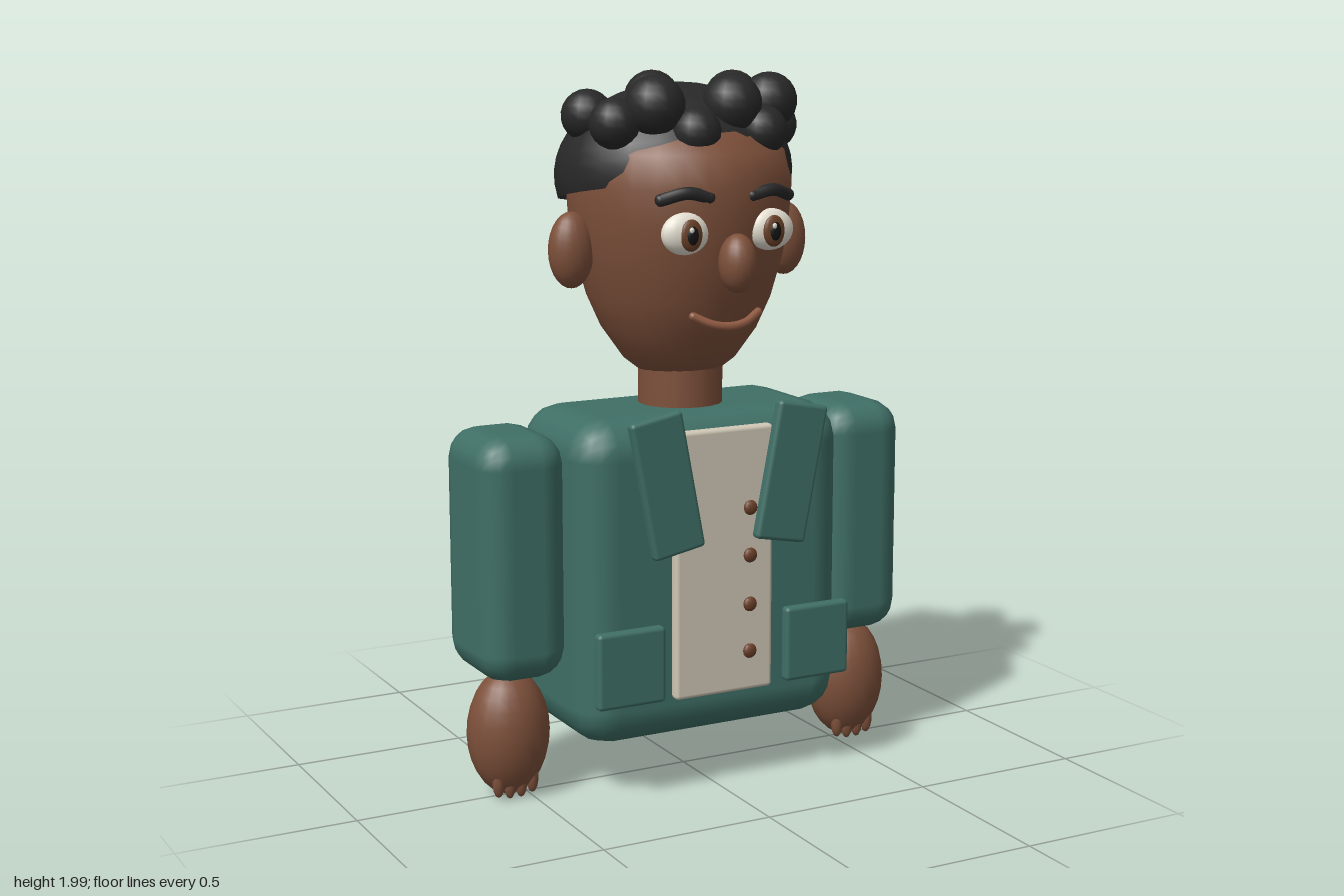
import * as THREE from 'three';
import { RoundedBoxGeometry } from 'three/addons/geometries/RoundedBoxGeometry.js';

const mat = (name, color) => {
  const m = new THREE.MeshStandardMaterial({ color });
  m.name = name;
  return m;
};

export function createModel() {
  const skin = mat('skin', 0x7d503a);
  const jacket = mat('jacketGreen', 0x3f6f66);
  const shirt = mat('shirtCream', 0xd0c8b6);
  const hair = mat('hairBlack', 0x282828);
  const button = mat('buttonBrown', 0x6b4029);
  const lip = mat('lipBrown', 0x8f5a42);
  const white = mat('eyeWhite', 0xe6e0d2);
  const iris = mat('irisBrown', 0x6a4026);
  const pupil = mat('pupilBlack', 0x141414);

  const model = new THREE.Group();
  model.name = 'figure';

  const add = (name, geometry, material, x, y, z, parent = model) => {
    const m = new THREE.Mesh(geometry, material);
    m.name = name;
    m.position.set(x, y, z);
    parent.add(m);
    return m;
  };
  const box = (w, h, d, r, s = 2) => new RoundedBoxGeometry(w, h, d, s, r);
  const ball = (rx, ry, rz, seg = 20) =>
    new THREE.SphereGeometry(1, seg, Math.round(seg * 0.7)).scale(rx, ry, rz);
  const tube = (points, r) => new THREE.TubeGeometry(
    new THREE.CatmullRomCurve3(points.map(p => new THREE.Vector3(...p))), 16, r, 8);

  // Jacket body, shirt front and buttons
  add('torso', box(0.83, 0.92, 0.47, 0.11), jacket, 0, 0.62, -0.02);
  add('shirtFront', box(0.305, 0.755, 0.036, 0.012), shirt, 0, 0.668, 0.23);
  for (const y of [0.82, 0.685, 0.545, 0.41])
    add('button', ball(0.021, 0.021, 0.012, 12), button, 0.07, y, 0.264);

  // Neck and head
  add('neck', new THREE.CylinderGeometry(0.12, 0.12, 0.2, 20), skin, 0, 1.12, -0.02);
  const profile = [[0, 1.14], [0.09, 1.155], [0.16, 1.21], [0.22, 1.295], [0.26, 1.385], [0.292, 1.5],
    [0.308, 1.6], [0.315, 1.7], [0.295, 1.79], [0.2, 1.88], [0, 1.92]];
  add('head', new THREE.LatheGeometry(profile.map(p => new THREE.Vector2(...p)), 28), skin, 0, 0, -0.028);
  add('nose', ball(0.052, 0.08, 0.055), skin, 0, 1.505, 0.31);

  // Smile with rounded ends
  const smile = [[-0.1, 1.36, 0.245], [-0.05, 1.337, 0.264], [0, 1.33, 0.27], [0.05, 1.337, 0.264], [0.1, 1.36, 0.245]];
  add('mouth', tube(smile, 0.012), lip, 0, 0, 0);
  for (const p of [smile[0], smile[4]]) add('mouthCorner', ball(0.012, 0.012, 0.012, 8), lip, ...p);

  // Mirrored parts
  for (const s of [-1, 1]) {
    const side = s > 0 ? 'left' : 'right';
    add(side + 'Sleeve', box(0.255, 0.685, 0.325, 0.085), jacket, s * 0.538, 0.703, -0.026);
    add(side + 'Hand', ball(0.118, 0.18, 0.105), skin, s * 0.55, 0.195, -0.004);
    for (let i = 0; i < 4; i++)
      add(side + 'Finger', ball(0.018, 0.05, 0.02, 10), skin,
        s * (0.55 + (i - 1.5) * 0.034), i % 3 ? 0.062 : 0.07, 0.04);

    const lapel = add(side + 'Lapel', box(0.157, 0.39, 0.036, 0.012), jacket, s * 0.193, 0.91, 0.268);
    lapel.rotation.z = -s * 0.19;
    add(side + 'Pocket', box(0.205, 0.215, 0.036, 0.012), jacket, s * 0.293, 0.407, 0.245);
    add(side + 'Ear', ball(0.065, 0.105, 0.055), skin, s * 0.335, 1.525, -0.02);

    // Eye in layers, then the brow
    add(side + 'Eye', ball(0.07, 0.057, 0.035), white, s * 0.13, 1.585, 0.255);
    add(side + 'Iris', ball(0.033, 0.043, 0.012, 16), iris, s * 0.126, 1.583, 0.284);
    add(side + 'Pupil', ball(0.018, 0.026, 0.008, 12), pupil, s * 0.126, 1.583, 0.292);
    add(side + 'EyeGlint', ball(0.007, 0.008, 0.004, 8), white, s * 0.126 - 0.006, 1.598, 0.299);
    const brow = [[s * 0.195, 1.675, 0.24], [s * 0.13, 1.693, 0.268], [s * 0.065, 1.68, 0.27]];
    add(side + 'Brow', tube(brow, 0.017), hair, 0, 0, 0);
    for (const p of [brow[0], brow[2]]) add(side + 'BrowEnd', ball(0.017, 0.017, 0.017, 8), hair, ...p);
  }

  // Hair cap, lower at the back, with curls around the crown
  const hairGroup = new THREE.Group();
  hairGroup.name = 'hair';
  model.add(hairGroup);
  const capGeo = new THREE.SphereGeometry(1, 24, 12, 0, Math.PI * 2, 0, Math.PI * 0.56).scale(0.342, 0.25, 0.302);
  const cap = add('hairCap', capGeo, hair, 0, 1.72, -0.06, hairGroup);
  cap.rotation.x = -0.17;
  hair.side = THREE.DoubleSide;
  const curls = [
    [-0.13, 1.85, -0.22, 0.065], [0.02, 1.918, -0.23, 0.08], [0.13, 1.85, -0.225, 0.06],
    [0.225, 1.918, -0.13, 0.08], [0.245, 1.918, 0.045, 0.08], [0.075, 1.917, 0.14, 0.083],
    [-0.055, 1.845, 0.175, 0.07], [-0.155, 1.917, 0.13, 0.083], [-0.265, 1.885, -0.06, 0.072],
    [-0.255, 1.87, 0.09, 0.07], [0.155, 1.845, 0.165, 0.07], [0.27, 1.85, 0.02, 0.07],
  ];
  for (const [x, y, z, r] of curls) add('curl', ball(r, r, r, 16), hair, x, y, z, hairGroup);

  return model;
}
